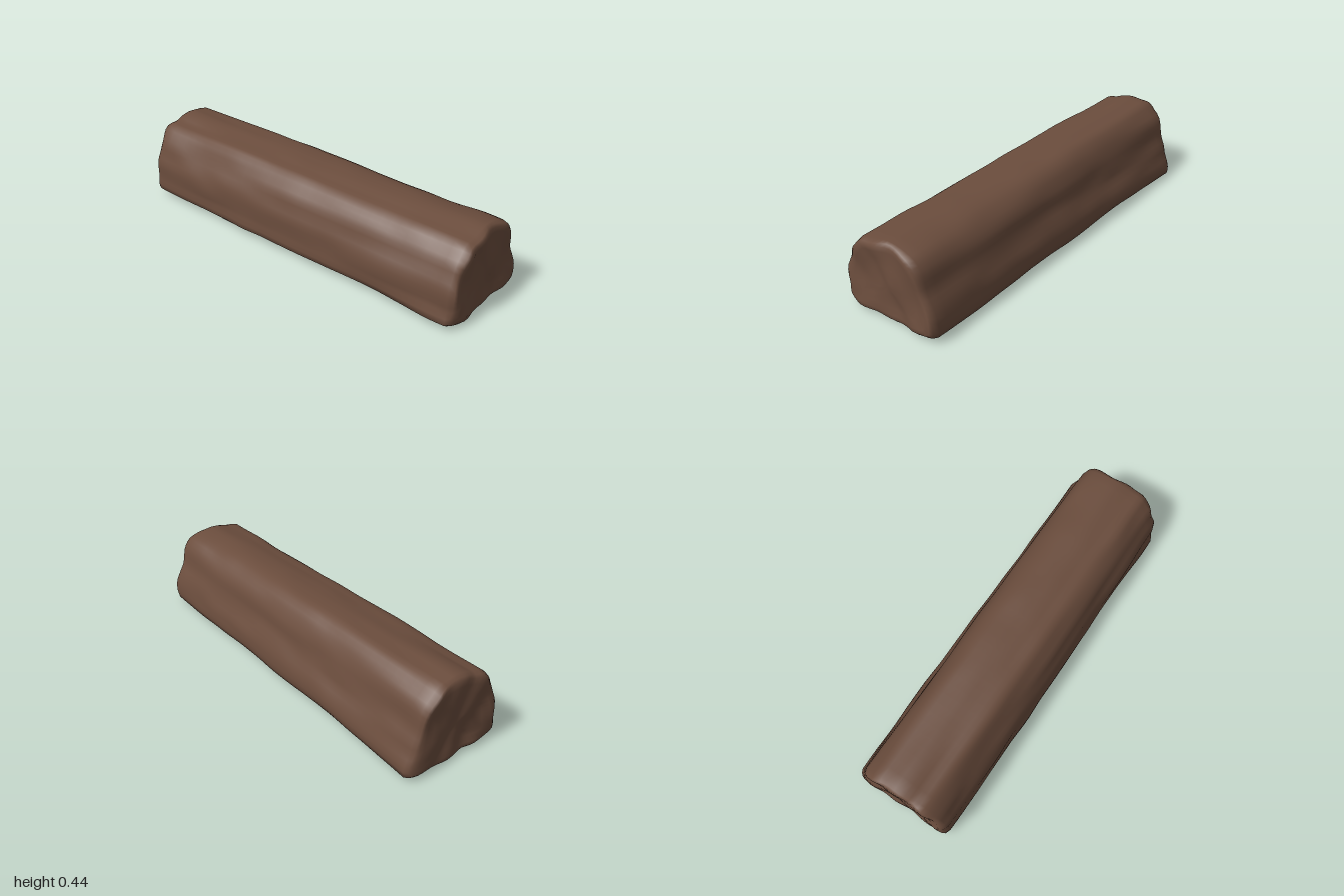
import * as THREE from 'three';
import { mergeVertices } from 'three/addons/utils/BufferGeometryUtils.js';

const SEGMENTS = 60;
const CENTRE_Y = 0.2;

// Outline of the log seen from the front, counter-clockwise from the lower right corner
const OUTLINE = [
  [0.262, 0.035], [0.268, 0.08], [0.246, 0.16], [0.215, 0.24], [0.195, 0.32], [0.162, 0.375],
  [0.115, 0.412], [0.05, 0.428], [-0.04, 0.42], [-0.1, 0.407], [-0.158, 0.396], [-0.2, 0.345],
  [-0.232, 0.28], [-0.258, 0.2], [-0.266, 0.11], [-0.27, 0.045], [-0.235, 0.026], [-0.14, 0.016],
  [-0.05, 0.02], [0.04, 0.013], [0.13, 0.015], [0.21, 0.024],
];

// Seeded smooth noise on an integer lattice, wrapping around the outline
function hash(a, b, seed) {
  const s = Math.sin(a * 127.1 + b * 311.7 + seed * 74.7) * 43758.5453;
  return (s - Math.floor(s)) * 2 - 1;
}
function noise(u, cells, v, seed) {
  const x = u * cells, i = Math.floor(x), j = Math.floor(v);
  const fade = (t) => t * t * (3 - 2 * t);
  const fx = fade(x - i), fy = fade(v - j);
  const at = (p, q) => hash((p + cells) % cells, q, seed);
  return THREE.MathUtils.lerp(
    THREE.MathUtils.lerp(at(i, j), at(i + 1, j), fx),
    THREE.MathUtils.lerp(at(i, j + 1), at(i + 1, j + 1), fx), fy);
}

// Rings from the middle of the front end, along the bark, to the middle of the back end
function makeRings() {
  const cap = [[0, 0.979], [0.2, 0.98], [0.42, 0.981], [0.62, 0.984], [0.8, 0.989], [0.91, 0.988], [0.965, 0.978]];
  const rings = cap.map(([scale, z]) => ({ scale, z, end: true }));
  for (let i = 0; i <= 36; i++) rings.push({ scale: 1, z: 0.955 * (1 - i / 18), end: false });
  for (const [scale, z] of [...cap].reverse()) rings.push({ scale, z: -z, end: true });
  return rings;
}

function logGeometry() {
  const curve = new THREE.CatmullRomCurve3(
    OUTLINE.map(([x, y]) => new THREE.Vector3(x, y, 0)), true, 'centripetal');
  const outline = curve.getSpacedPoints(SEGMENTS).slice(0, SEGMENTS);
  const rings = makeRings();
  const positions = [], indices = [];

  rings.forEach(({ scale, z, end }, r) => {
    outline.forEach((p, s) => {
      const u = s / SEGMENTS;
      // Long grooves in the bark that drift slowly along the log
      const bark = 0.022 * noise(u, 30, z * 2.2 + 10, 1)
        + 0.018 * noise(u, 14, z * 3 + 20, 2)
        + 0.014 * noise(u, 20, z * 7 + 30, 3);
      const k = scale * (1 + bark);
      const x = p.x * k;
      let y = CENTRE_Y + (p.y - CENTRE_Y) * k;
      // The top rises a little towards the back
      y += 0.012 * -z * THREE.MathUtils.smoothstep(y, 0.3, 0.42);
      // Rough, slightly hollow ends
      let depth = 0;
      if (end) {
        const side = Math.sign(z);
        depth = side * (0.008 * Math.sin(x * 17 + side) * Math.cos(y * 19 + side * 2)
          + 0.004 * Math.sin(x * 38 + y * 23 + side));
      }
      positions.push(x, Math.max(y, 0), THREE.MathUtils.clamp(z + depth, -1, 1));

      if (r < rings.length - 1) {
        const n = (s + 1) % SEGMENTS;
        const a = r * SEGMENTS + s, b = r * SEGMENTS + n;
        const c = a + SEGMENTS, d = b + SEGMENTS;
        if (rings[r].scale > 0) indices.push(a, c, b);
        else { indices.push(a, c, d); return; }
        if (rings[r + 1].scale > 0) indices.push(b, c, d);
      }
    });
  });

  let geometry = new THREE.BufferGeometry();
  geometry.setAttribute('position', new THREE.Float32BufferAttribute(positions, 3));
  geometry.setIndex(indices);
  geometry = mergeVertices(geometry, 1e-5);
  geometry.computeVertexNormals();
  return geometry;
}

export function createModel() {
  const group = new THREE.Group();
  group.name = 'woodenLog';
  const bark = new THREE.MeshStandardMaterial({ color: 0x6b4d3d });
  bark.name = 'brown bark';
  const log = new THREE.Mesh(logGeometry(), bark);
  log.name = 'log';
  group.add(log);
  return group;
}
